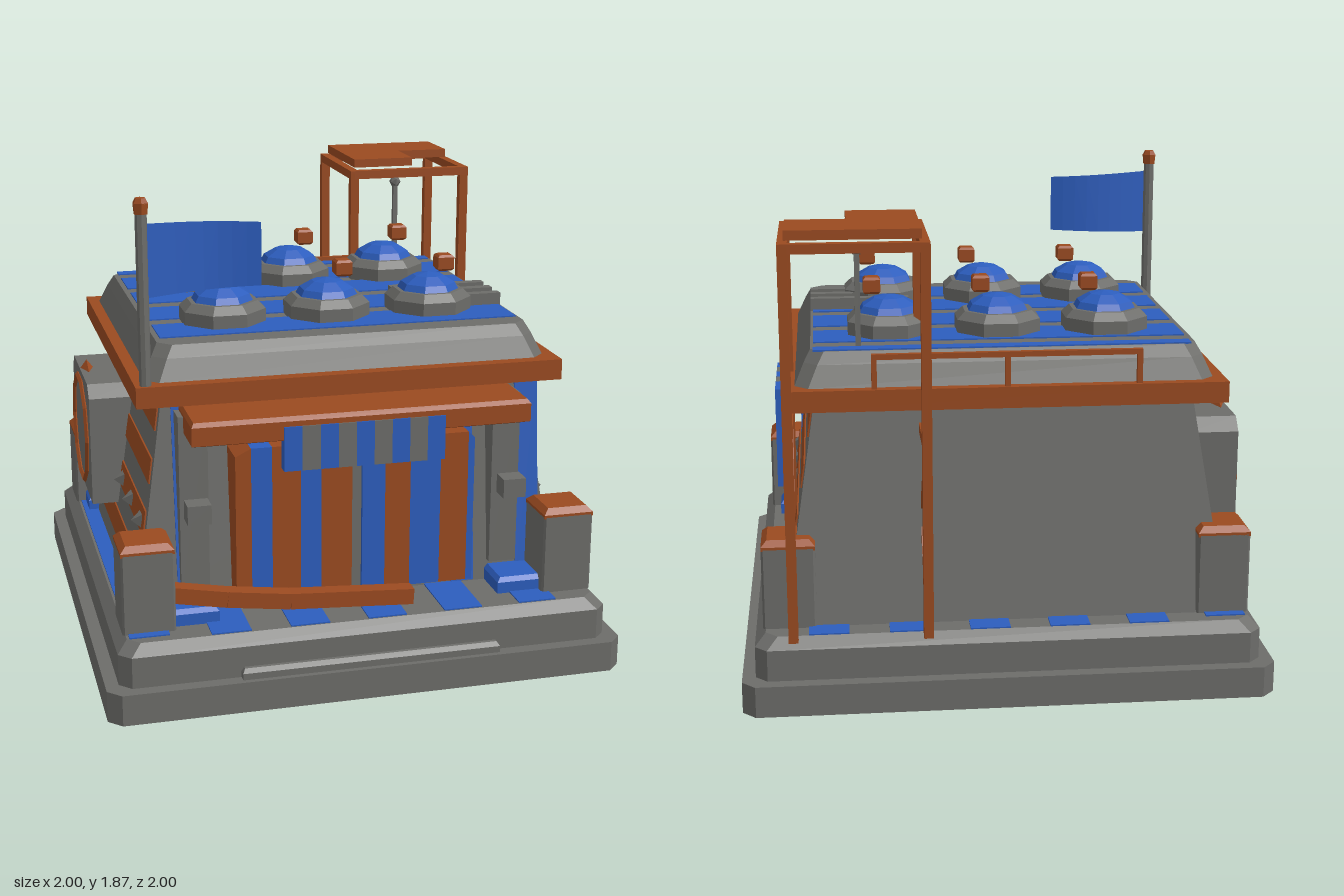
import * as THREE from 'three';

const mat = (name, color) => Object.assign(new THREE.MeshStandardMaterial({ color, flatShading: true }), { name });

export function createModel() {
  const root = new THREE.Group();
  const gray = mat('stone gray', 0x6c6c69);
  const blue = mat('paint blue', 0x2c5dbd);
  const brown = mat('rust brown', 0x9a4a20);
  const cloth = blue.clone();
  cloth.name = 'flag blue';
  cloth.side = THREE.DoubleSide;

  const add = (name, geo, m, x = 0, y = 0, z = 0) => {
    const mesh = new THREE.Mesh(geo, m);
    mesh.name = name;
    mesh.position.set(x, y, z);
    root.add(mesh);
    return mesh;
  };
  // box given by its limits
  const box = (name, m, x0, x1, y0, y1, z0, z1) =>
    add(name, new THREE.BoxGeometry(x1 - x0, y1 - y0, z1 - z0), m, (x0 + x1) / 2, (y0 + y1) / 2, (z0 + z1) / 2);

  // stacked rectangular sections [y, x0, x1, z0, z1] with cut corners
  const loft = (name, m, rings, c = 0) => {
    const pts = rings.map(([y, x0, x1, z0, z1]) => [
      [x0 + c, z1], [x1 - c, z1], [x1, z1 - c], [x1, z0 + c],
      [x1 - c, z0], [x0 + c, z0], [x0, z0 + c], [x0, z1 - c]].map(([x, z]) => [x, y, z]));
    const pos = [];
    const tri = (...v) => v.forEach(p => pos.push(...p));
    for (let r = 0; r < pts.length - 1; r++)
      for (let i = 0; i < 8; i++) {
        const j = (i + 1) % 8, a = pts[r], b = pts[r + 1];
        if (c === 0 && i % 2) continue;
        tri(a[i], a[j], b[j]);
        tri(a[i], b[j], b[i]);
      }
    const lo = pts[0], hi = pts[pts.length - 1];
    for (let i = 1; i < 7; i++) {
      tri(hi[0], hi[i], hi[i + 1]);
      tri(lo[0], lo[i + 1], lo[i]);
    }
    const g = new THREE.BufferGeometry();
    g.setAttribute('position', new THREE.Float32BufferAttribute(pos, 3));
    g.computeVertexNormals();
    return add(name, g, m);
  };
  // square bar between two points
  const bar = (name, m, a, b, w) => {
    const p = new THREE.Vector3(...a), q = new THREE.Vector3(...b);
    const mesh = add(name, new THREE.BoxGeometry(w, w, p.distanceTo(q)), m);
    mesh.position.copy(p).add(q).multiplyScalar(0.5);
    mesh.lookAt(q);
    return mesh;
  };

  // stepped base, front step and striped floor
  loft('lowerBase', gray, [[0, -1, 1, -1, 1], [0.12, -1, 1, -1, 1]], 0.05);
  loft('upperBase', gray, [[0.12, -0.95, 0.95, -0.95, 0.95], [0.24, -0.95, 0.95, -0.95, 0.95],
    [0.28, -0.91, 0.91, -0.91, 0.91]], 0.045);
  loft('frontStep', gray, [[0.12, -0.5, 0.5, 0.9, 0.98], [0.145, -0.5, 0.5, 0.9, 0.98], [0.16, -0.49, 0.49, 0.9, 0.965]]);
  for (let i = 0; i < 6; i++)
    box('floorStripe', blue, -0.9 + i * 0.3, -0.75 + i * 0.3, 0.278, 0.285, i ? -0.91 : -0.87, i ? 0.905 : 0.87);

  // tapered walls
  const wx = y => 0.84 - 0.155 * (y - 0.28);
  const zf = y => 0.645 - 0.108 * (y - 0.28);
  const zb = y => -0.825 + 0.17 * (y - 0.28);
  loft('walls', gray, [0.28, 1.12].map(y => [y, -wx(y), wx(y), zb(y), zf(y)]));
  // painted bands on both side walls
  for (let i = 0; i < 4; i++) {
    const y0 = 0.365 + i * 0.2;
    loft('sideBand', brown, [y0, y0 + 0.095].map(y => [y, -wx(y) - 0.006, wx(y) + 0.006, -0.64, zf(y) - 0.03]));
  }
  // painted stripes on the front wall
  for (let i = 0; i < 6; i++) {
    const x = -0.68 + i * 0.272;
    loft('frontStripe', blue, [0.285, 1.1].map(y => [y, x, x + 0.095, 0.3, zf(y) + 0.006]));
  }

  // cornice and roof
  loft('cornice', brown, [[1.1, -0.825, 0.825, -0.8, 0.69], [1.18, -0.825, 0.825, -0.8, 0.69]]);
  loft('roof', gray, [[1.18, -0.78, 0.78, -0.76, 0.64], [1.26, -0.745, 0.745, -0.725, 0.605],
    [1.305, -0.72, 0.72, -0.70, 0.58]], 0.05);
  const cuts = [-0.695, -0.64, -0.56, -0.36, -0.28, -0.08, 0, 0.2, 0.28, 0.48, 0.56, 0.575];
  for (let i = 0; i < 10; i += 2)
    box('roofStripe', blue, -0.7, 0.71, 1.303, 1.31, cuts[i], cuts[i + 1]);

  // roof domes with octagonal collars and floating beacons
  const collar = new THREE.LatheGeometry(
    [[0, 0], [0.172, 0], [0.172, 0.055], [0.14, 0.085], [0, 0.085]].map(p => new THREE.Vector2(...p)), 8, Math.PI / 8);
  const cap = new THREE.LatheGeometry(
    [[0.125, 0], [0.108, 0.03], [0.06, 0.058], [0, 0.07]].map(p => new THREE.Vector2(...p)), 8, Math.PI / 8);
  for (const x of [-0.418, 0, 0.418])
    for (const z of [-0.385, 0.255]) {
      add('domeCollar', collar, gray, x, 1.305, z);
      add('dome', cap, blue, x, 1.385, z);
      const c = x + 0.065, s = 0.033, t = 0.025;
      loft('beacon', brown, [[1.458, c - t, c + t, z - t, z + t], [1.467, c - s, c + s, z - s, z + s],
        [1.513, c - s, c + s, z - s, z + s], [1.522, c - t, c + t, z - t, z + t]]);
    }
  for (const z of [0.055, 0.155, 0.255]) box('roofVent', gray, 0.32, 0.72, 1.3, 1.355, z - 0.02, z + 0.02);

  // rear rail
  box('rearRail', brown, -0.5, 0.5, 1.29, 1.31, -0.79, -0.77);
  for (const x of [-0.49, 0, 0.49]) box('railPost', brown, x - 0.01, x + 0.01, 1.17, 1.3, -0.79, -0.77);

  // antenna
  box('antenna', gray, 0.532, 0.552, 1.28, 1.66, -0.63, -0.61);
  add('antennaTip', new THREE.IcosahedronGeometry(0.026, 0), gray, 0.542, 1.67, -0.62);

  // corner posts with caps, on blue pads
  for (const sx of [-1, 1])
    for (const sz of [-1, 1]) {
      const span = (y, h, cx, cz, hz = h) => [y, sx * cx - h, sx * cx + h, sz * cz - hz, sz * cz + hz];
      loft('cornerPost', gray, [span(0.28, 0.1, 0.82, 0.735), span(0.59, 0.1, 0.82, 0.735)], 0.008);
      loft('postCap', brown, [span(0.585, 0.1, 0.82, 0.735), span(0.6, 0.1, 0.82, 0.735), span(0.622, 0.078, 0.82, 0.735)]);
      loft('cornerPad', blue, [span(0.28, 0.165, 0.715, 0.655, 0.145), span(0.325, 0.165, 0.715, 0.655, 0.145),
        span(0.342, 0.15, 0.715, 0.655, 0.13)]);
    }

  // striped double door with clipped outer corners
  const leaf = (x0, x1, c0, c1, m) => {
    const s = new THREE.Shape([[x0, 0.325], [x1, 0.325], [x1, 0.93 - c1], [x0, 0.93 - c0]].map(p => new THREE.Vector2(...p)));
    add('doorStripe', new THREE.ExtrudeGeometry(s, { depth: 0.16, bevelEnabled: false }), m, 0, 0, 0.57);
  };
  const left = [-0.47, -0.41, -0.33, -0.22, -0.14, -0.02], right = [0.02, 0.11, 0.21, 0.33, 0.44, 0.465];
  for (let i = 0; i < 5; i++) {
    leaf(left[i], left[i + 1], i ? 0 : 0.03, 0, i % 2 ? blue : brown);
    leaf(right[i], right[i + 1], 0, i === 4 ? 0.025 : 0, i % 2 ? brown : blue);
  }
  box('doorGap', gray, -0.02, 0.02, 0.325, 0.93, 0.57, 0.715);

  // side panels and lamps by the door
  for (const s of [-1, 1]) {
    const x = s * 0.615;
    box('doorPanel', gray, x - 0.055, x + 0.055, 0.36, 1.05, 0.55, 0.665);
    box('lampBracket', gray, x - 0.02, x + 0.02, 0.68, 0.72, 0.62, 0.73);
    box('lamp', gray, x - 0.045, x + 0.045, 0.665, 0.74, 0.7, 0.78);
  }

  // awning with a striped valance
  loft('awning', brown, [[0.985, -0.6, 0.6, 0.55, 0.83], [0.99, -0.65, 0.645, 0.55, 0.84],
    [1.06, -0.65, 0.645, 0.55, 0.84], [1.075, -0.64, 0.635, 0.55, 0.825]]);
  for (let i = 0; i < 9; i++) {
    const x = -0.31 + i * 0.0685;
    box('valanceStripe', i % 2 ? gray : blue, x, x + 0.0685, 0.87, 1.04, 0.8, 0.846);
  }

  // leaning curved beam before the door
  const path = [[-0.73, 0.41, 0.78], [-0.52, 0.375, 0.79], [-0.28, 0.345, 0.795], [0.2, 0.318, 0.8]];
  for (let i = 0; i < 3; i++) bar('fallenBeam', brown, path[i], path[i + 1], 0.062);

  // banner on the right wall
  const edges = [0.17, 0.085, 0.01, -0.075, -0.155, -0.24, -0.285];
  for (let i = 0; i < 6; i++)
    box('bannerStripe', i % 2 && i < 5 ? gray : blue, 0.825, 0.865, 0.66, 1.06, edges[i + 1], edges[i]);

  // studs along both side walls
  for (const s of [-1, 1])
    for (let i = 0; i < 5; i++) {
      const stud = add('stud', new THREE.ConeGeometry(0.039, 0.04, 4, 1, false, Math.PI / 4), gray,
        s * (wx(0.605) + 0.024), 0.605, 0.505 - i * 0.24);
      stud.rotation.z = -s * Math.PI / 2;
    }

  // shield housing on the left wall with ring and pointer
  const sh = new THREE.Shape([[-0.28, 0.48], [0.28, 0.48], [0.28, 0.93], [0.23, 0.98], [-0.23, 0.98], [-0.28, 0.93]]
    .map(p => new THREE.Vector2(...p)));
  const housing = add('wallHousing', new THREE.ExtrudeGeometry(sh, { depth: 0.2, bevelEnabled: false }), gray, -0.715, 0, -0.325);
  housing.rotation.y = -Math.PI / 2;
  const ring = add('housingRing', new THREE.TorusGeometry(0.225, 0.011, 4, 10), brown, -0.92, 0.73, -0.325);
  ring.rotation.y = Math.PI / 2;
  const pointer = add('housingPointer', new THREE.OctahedronGeometry(1), brown, -0.885, 0.975, -0.355);
  pointer.scale.set(0.03, 0.04, 0.09);

  // watch tower
  for (const x of [0.31, 0.805]) {
    for (const z of [-0.467, -0.965]) box('towerPost', brown, x - 0.018, x + 0.018, 0.28, 1.74, z - 0.018, z + 0.018);
    box('towerTopBeam', brown, x - 0.018, x + 0.018, 1.715, 1.75, -0.983, -0.449);
    box('towerMidBeam', brown, x - 0.014, x + 0.014, 0.99, 1.025, -0.965, -0.467);
    bar('towerBrace', brown, [x, 1.0, -0.467], [x, 0.36, -0.965], 0.025);
    bar('towerBrace', brown, [x, 1.0, -0.965], [x, 0.36, -0.467], 0.025);
  }
  for (const z of [-0.467, -0.965]) box('towerTopBeam', brown, 0.31, 0.805, 1.715, 1.75, z - 0.018, z + 0.018);
  const deck = new THREE.Shape([[0.32, 0.495], [0.58, 0.495], [0.58, 0.7], [0.8, 0.7], [0.8, 0.95], [0.32, 0.95]]
    .map(p => new THREE.Vector2(...p)));
  const top = add('towerDeck', new THREE.ExtrudeGeometry(deck, { depth: 0.035, bevelEnabled: false }), brown, 0, 1.758, 0);
  top.rotation.x = -Math.PI / 2;

  // flagpole and waving flag
  add('flagPole', new THREE.CylinderGeometry(0.022, 0.022, 0.66, 8), gray, -0.785, 1.5, 0.66);
  add('poleFinial', new THREE.CylinderGeometry(0.02, 0.03, 0.02, 6), brown, -0.785, 1.86, 0.66);
  add('poleFinial', new THREE.CylinderGeometry(0.03, 0.026, 0.04, 6), brown, -0.785, 1.832, 0.66);
  const flag = new THREE.PlaneGeometry(0.42, 0.27, 8, 1);
  const p = flag.attributes.position;
  for (let i = 0; i < p.count; i++) {
    const t = (p.getX(i) + 0.21) / 0.42;
    p.setY(i, p.getY(i) * (1 - 0.13 * t));
    p.setZ(i, -0.045 * Math.sin(t * Math.PI * 0.8));
  }
  flag.computeVertexNormals();
  add('flag', flag, cloth, -0.555, 1.643, 0.67);

  return root;
}
